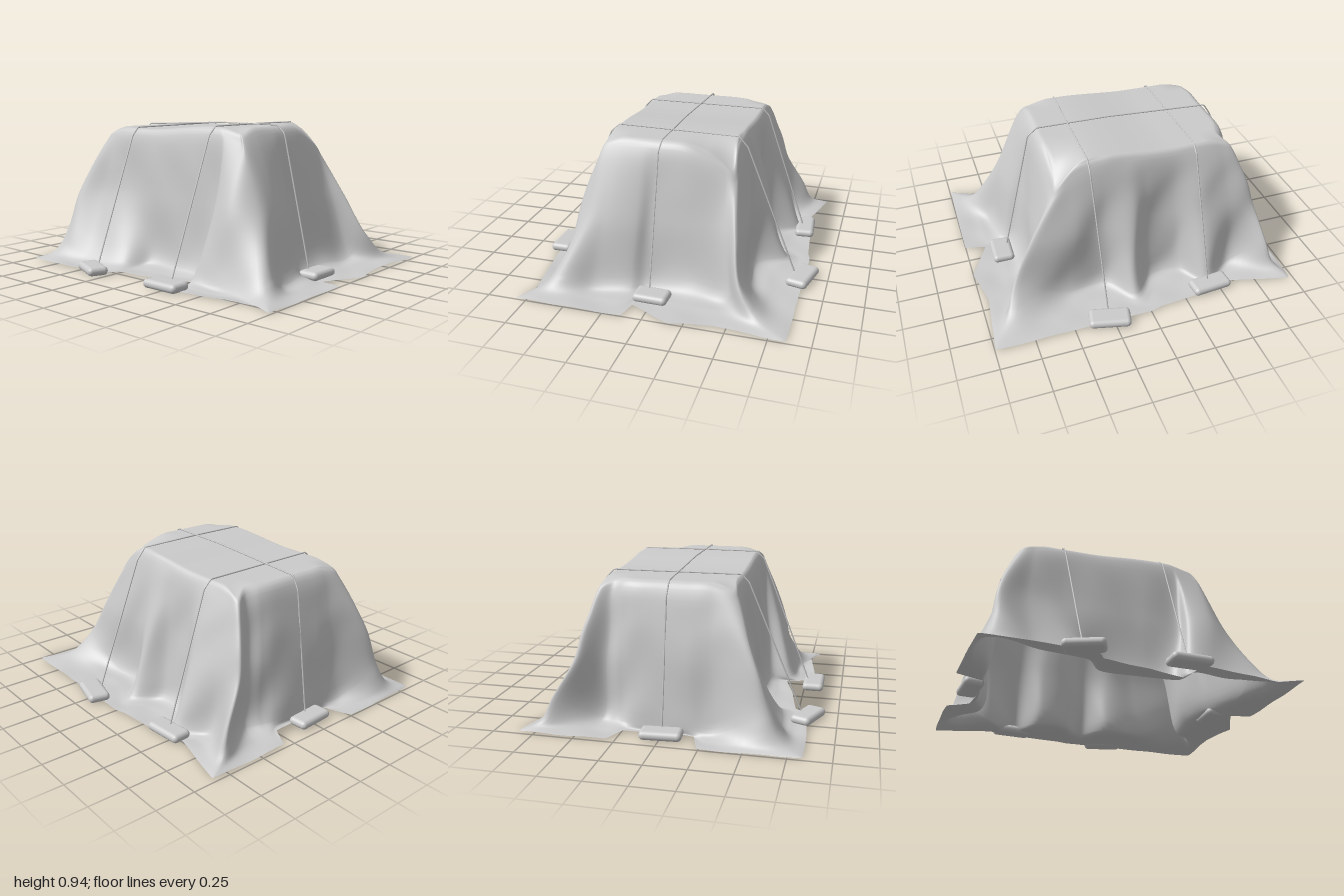
import * as THREE from 'three';
import { RoundedBoxGeometry } from 'three/addons/geometries/RoundedBoxGeometry.js';

const clamp = THREE.MathUtils.clamp;
const smooth = THREE.MathUtils.smoothstep;

// Plan outlines of the cloth as x, z pairs, matching station by station,
// running back, +x side, front, -x side.
const MID = [
  -.82, -.53, -.64, -.54, -.45, -.57, -.28, -.48, -.1, -.49, .02, -.56, .2, -.5, .4, -.51,
  .66, -.48, .6, -.4, .59, -.15, .59, .06, .64, .15, .67, .33,
  .66, .47, .52, .56, .385, .54, .35, .46, .1, .455, -.2, .455, -.45, .46, -.64, .49,
  -.835, .55, -.78, .28, -.785, .14, -.78, 0, -.755, -.2, -.735, -.28, -.71, -.37,
];
const FOOT = [
  -.87, -.66, -.64, -.6, -.44, -.71, -.3, -.56, -.1, -.56, .05, -.7, .2, -.53, .45, -.54,
  .79, -.54, .72, -.45, .68, -.18, .69, .08, .74, .16, .78, .4,
  .78, .57, .52, .66, .31, .65, .27, .53, .08, .5, -.2, .5, -.32, .63, -.62, .68,
  -.88, .62, -.83, .32, -.82, .17, -.81, 0, -.79, -.22, -.76, -.3, -.73, -.4,
];
const HEM = [
  -.97, -.85, -.57, -.75, -.5, -.8, -.3, -.81, -.07, -.83, 0, -.85, .3, -.85, .6, -.85,
  .99, -.85, .95, -.42, 1, -.16, .87, .1, 1, .13, 1, .45,
  .99, .81, .85, .75, .34, .82, .28, .62, .05, .68, -.25, .73, -.3, .8, -.62, .83,
  -.98, .83, -1, .25, -.83, .19, -.82, 0, -.84, -.24, -.97, -.31, -.98, -.48,
];
const CORNERS = [0, 8, 14, 22];

// Top rises toward +x, sags at the back +x corner and rounds off at all corners
const topHeight = (x, z) =>
  .904 + .034 * smooth(x, -.3, .25) - .13 * smooth(x, .25, .55) * smooth(-z, .08, .46)
  - .06 * smooth(Math.abs(x + .1), .4, .62) * smooth(Math.abs(z), .25, .46);

// Closed loop through the stations; f turns a station into a point
const ring = (f, type = 'centripetal') => {
  const pts = [];
  for (let i = 0; i < MID.length / 2; i++) pts.push(f(i));
  return new THREE.CatmullRomCurve3(pts, true, type, .08);
};

function clothGeometry() {
  const topXZ = (i) => [clamp(MID[2 * i] * .92, -.69, .5), clamp(MID[2 * i + 1] * .92, -.43, .41)];
  const topRing = (scale, drop) => ring((i) => {
    const [tx, tz] = topXZ(i);
    const x = -.1 + (tx + .1) * scale, z = tz * scale;
    return new THREE.Vector3(x, topHeight(x, z) - drop, z);
  });
  const mix = (a, b, t, y, type) => ring((i) => new THREE.Vector3(
    a[2 * i] + (b[2 * i] - a[2 * i]) * t, y(i), a[2 * i + 1] + (b[2 * i + 1] - a[2 * i + 1]) * t), type);
  const footY = (i) => (CORNERS.includes(i) ? .21 : .05);
  const rings = [
    topRing(.5, 0), topRing(.93, 0), topRing(1.01, .045),
    mix(MID, MID, 0, () => .46),
    mix(FOOT, FOOT, 0, footY),
    mix(FOOT, HEM, .4, (i) => (CORNERS.includes(i) ? .06 : .018)),
    mix(HEM, HEM, 0, () => .015, 'catmullrom'), // nearly straight between stations
  ];
  const cols = 290, rows = 63, pos = [], index = [];
  for (let c = 0; c < cols; c++) {
    const u = c / cols;
    const pts = [new THREE.Vector3(-.1, topHeight(-.1, 0), 0), ...rings.map((r) => r.getPoint(u))];
    const column = new THREE.CatmullRomCurve3(pts, false, 'centripetal');
    for (let r = 0; r <= rows; r++) {
      const p = column.getPoint(r / rows);
      if (r <= rows * 2 / 7) p.y = topHeight(p.x, p.z);
      // gentle rumples on the hanging cloth
      const hang = smooth(.85 - p.y, 0, .25) * smooth(p.y, .03, .2);
      const w = .005 * hang * Math.sin(p.x * 17 + p.y * 9 + Math.sin(p.z * 13));
      const ripple = .003 * Math.sin(p.x * 21) * Math.sin(p.z * 19);
      pos.push(p.x + w, Math.max(p.y + (p.y < .1 ? ripple : 0), .01), p.z + w);
      if (r < rows) {
        const a = c * (rows + 1) + r, b = ((c + 1) % cols) * (rows + 1) + r;
        index.push(a, b + 1, a + 1);
        if (r > 0) index.push(a, b, b + 1);
      }
    }
  }
  const g = new THREE.BufferGeometry();
  g.setAttribute('position', new THREE.Float32BufferAttribute(pos, 3));
  g.setIndex(index);
  g.computeVertexNormals();
  return g;
}

// Taut rope along straight runs between points
function ropeGeometry(points) {
  const path = new THREE.CurvePath();
  const v = points.map((p) => new THREE.Vector3(...p));
  for (let i = 1; i < v.length; i++) path.add(new THREE.LineCurve3(v[i - 1], v[i]));
  return new THREE.TubeGeometry(path, 160, .005, 6);
}

export function createModel() {
  const model = new THREE.Group();
  const mat = new THREE.MeshStandardMaterial({ color: 0xcccccc });
  const clothMat = new THREE.MeshStandardMaterial({ color: 0xcccccc, side: THREE.DoubleSide });
  const add = (name, geometry, material = mat) => {
    const mesh = new THREE.Mesh(geometry, material);
    mesh.name = name;
    model.add(mesh);
    return mesh;
  };

  add('draped cloth', clothGeometry(), clothMat);

  // Ropes over the top, tied to the weights
  add('cross rope right', ropeGeometry([
    [-.39, .05, .78], [-.41, .86, .44], [-.41, .911, .39], [-.42, .911, -.41], [-.42, .86, -.46], [-.43, .05, -.74]]));
  add('cross rope left', ropeGeometry([
    [.25, .05, .77], [.26, .89, .44], [.26, .943, .38], [.27, .943, 0], [.27, .938, -.4], [.27, .87, -.46], [.27, .05, -.79]]));
  add('long rope', ropeGeometry([
    [-.84, .05, 0], [-.73, .83, .005], [-.68, .911, .01], [0, .943, .02], [.47, .943, .03], [.53, .89, .035], [.73, .05, .04]]));

  // Flat weights holding the hem: x, z, length, width, turn
  [
    [-.44, -.755, .26, .13, .08], [.275, -.84, .26, .14, -.24],
    [-.395, .82, .25, .13, -.4], [.24, .81, .26, .14, 0],
    [-.875, .005, .255, .13, 1.64], [.77, .01, .22, .14, 1.54],
  ].forEach(([x, z, l, w, turn], i) => {
    const weight = add(`weight ${i + 1}`, new RoundedBoxGeometry(l, .055, w, 4, .027));
    weight.position.set(x, .036, z);
    weight.rotation.y = turn;
  });
  return model;
}
